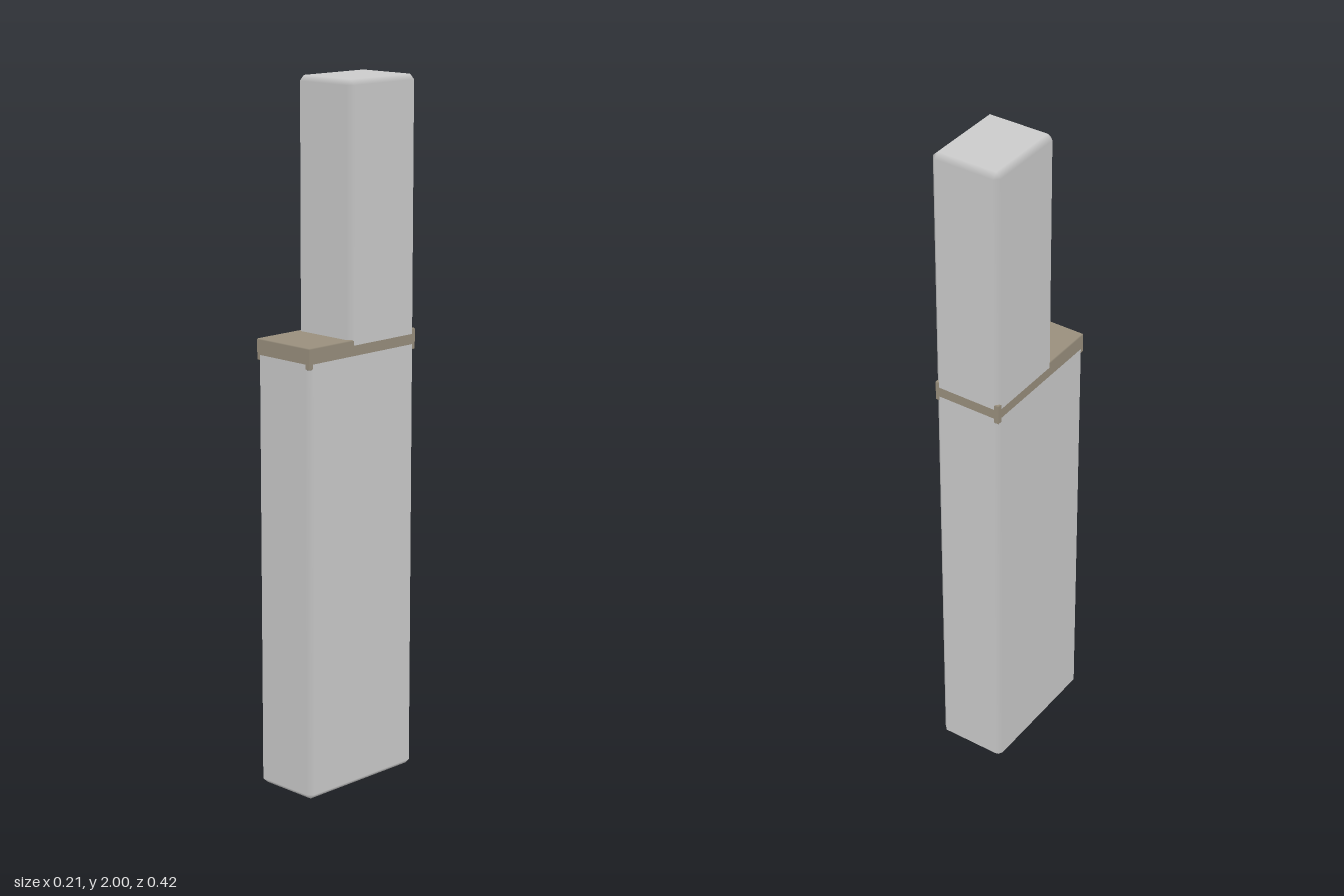
import * as THREE from 'three';
import { ConvexGeometry } from 'three/addons/geometries/ConvexGeometry.js';

const SIGNS = [-1, 1];

// Box with bevelled edges; each corner keeps its main face's normal, so the
// faces shade flat and the bevels blend softly.
function bevelledBox(width, height, depth, bevel) {
  const half = [width / 2, height / 2, depth / 2];
  const points = [];
  for (let axis = 0; axis < 3; axis++)
    for (const sx of SIGNS) for (const sy of SIGNS) for (const sz of SIGNS) {
      const p = [sx, sy, sz].map((s, i) => s * (half[i] - (i === axis ? 0 : bevel)));
      points.push(new THREE.Vector3(...p));
    }
  const geometry = new ConvexGeometry(points);
  const { position, normal } = geometry.attributes;
  for (let v = 0; v < position.count; v++) {
    const p = [position.getX(v), position.getY(v), position.getZ(v)];
    const n = p.map((c, i) => (Math.abs(Math.abs(c) - half[i]) < bevel / 2 ? Math.sign(c) : 0));
    normal.setXYZ(v, ...n);
  }
  return geometry;
}

export function createModel() {
  const model = new THREE.Group();
  const grey = new THREE.MeshStandardMaterial({ color: 0xcccccc });
  const tan = new THREE.MeshStandardMaterial({ color: 0x998f7d });

  // Adds a block from its width and its height and depth ranges
  function addBlock(name, material, width, [y0, y1], [z0, z1], bevel) {
    const mesh = new THREE.Mesh(bevelledBox(width, y1 - y0, z1 - z0, bevel), material);
    mesh.position.set(0, (y0 + y1) / 2, (z0 + z1) / 2);
    mesh.name = name;
    model.add(mesh);
  }

  // Deep lower block, thin band across its top, shallower block at the rear
  addBlock('lowerBlock', grey, 0.208, [0, 1.265], [-0.208, 0.208], 0.015);
  addBlock('band', tan, 0.207, [1.235, 1.295], [-0.2075, 0.2075], 0.003);
  addBlock('upperBlock', grey, 0.208, [1.265, 2], [-0.208, 0.052], 0.015);

  return model;
}
